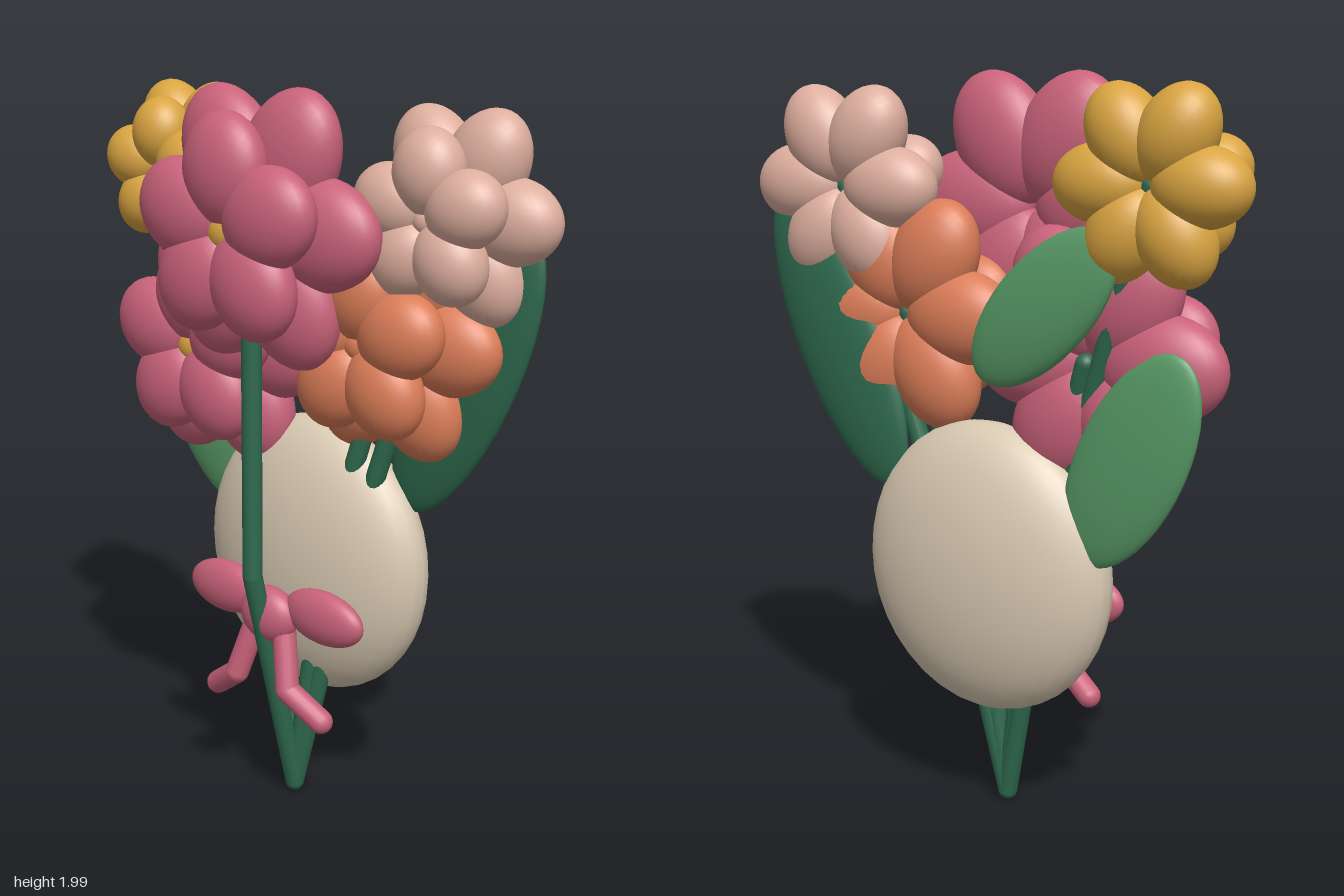
import * as THREE from 'three';

const mat = (name, color) => {
  const m = new THREE.MeshStandardMaterial({ color });
  m.name = name;
  return m;
};

export function createModel() {
  const rose = mat('rose', 0xc9627a);
  const gold = mat('gold', 0xd9a441);
  const blush = mat('blush', 0xddae9e);
  const coral = mat('coral', 0xdb7d58);
  const stemGreen = mat('stem green', 0x2f6a4e);
  const leafGreen = mat('leaf green', 0x589a66);
  const cream = mat('cream', 0xd9c9b2);

  const root = new THREE.Group();
  root.name = 'bouquet';
  const ball = new THREE.SphereGeometry(1, 32, 20);

  // Scaled sphere, turned about z
  const ellipsoid = (parent, name, material, pos, radii, turn = 0) => {
    const m = new THREE.Mesh(ball, material);
    m.name = name;
    m.position.set(...pos);
    m.scale.set(...radii);
    m.rotation.z = turn;
    parent.add(m);
    return m;
  };

  // Round-ended rod through a list of points
  const rod = (parent, name, material, points, r) => {
    const g = new THREE.Group();
    g.name = name;
    for (let i = 1; i < points.length; i++) {
      const a = new THREE.Vector3(...points[i - 1]);
      const b = new THREE.Vector3(...points[i]);
      const dir = b.clone().sub(a);
      const m = new THREE.Mesh(new THREE.CapsuleGeometry(r, dir.length(), 6, 16), material);
      m.name = name + 'Segment';
      m.position.copy(a).add(b).multiplyScalar(0.5);
      m.quaternion.setFromUnitVectors(new THREE.Vector3(0, 1, 0), dir.normalize());
      g.add(m);
    }
    parent.add(g);
  };

  // Ring of petals around the flower's axis
  const petals = (parent, name, material, count, start, dist, radii, z) => {
    for (let i = 0; i < count; i++) {
      const a = start + (i / count) * Math.PI * 2;
      ellipsoid(parent, name, material, [Math.cos(a) * dist, Math.sin(a) * dist, z], radii, a);
    }
  };

  // Flower: six outer petals, five raised inner petals and a core
  const flower = (name, material, [x, y, z], s) => {
    const g = new THREE.Group();
    g.name = name;
    g.position.set(x, y, z);
    petals(g, 'outerPetal', material, 6, 0, 0.2 * s, [0.19 * s, 0.145 * s, 0.09], 0);
    petals(g, 'innerPetal', material, 5, Math.PI / 2, 0.155 * s, [0.145 * s, 0.128 * s, 0.08], 0.125);
    const core = material === rose ? gold : material;
    ellipsoid(g, 'core', core, [0, 0, 0.115], [0.06 * s, 0.06 * s, 0.05]);
    root.add(g);
  };
  flower('frontFlower', rose, [0, 1.64, 0.085], 1);
  flower('lowerRightFlower', rose, [-0.3, 1.28, -0.09], 0.95);
  flower('goldFlower', gold, [-0.495, 1.73, -0.17], 0.68);
  flower('blushFlower', blush, [0.465, 1.69, -0.135], 0.75);
  flower('coralFlower', coral, [0.275, 1.36, -0.115], 0.87);

  // Stems all meet at the foot
  const foot = [0, 0.03, -0.05];
  const stems = [
    [[0, 0.7, 0.12], [0, 1.42, 0.12]],
    [[-0.1, 0.7, -0.08], [-0.3, 1.28, -0.14]],
    [[-0.15, 0.7, -0.1], [-0.495, 1.73, -0.17]],
    [[0.15, 0.7, -0.09], [0.465, 1.69, -0.135]],
    [[0.09, 0.7, -0.07], [0.275, 1.36, -0.115]],
  ];
  for (const [knee, top] of stems) rod(root, 'stem', stemGreen, [foot, knee, top], 0.027);

  // Leaves behind the flowers
  ellipsoid(root, 'leftLeaf', stemGreen, [0.475, 1.28, -0.165], [0.15, 0.43, 0.045], -0.44);
  ellipsoid(root, 'lowerRightLeaf', leafGreen, [-0.45, 1.05, -0.17], [0.15, 0.31, 0.04], 0.47);
  ellipsoid(root, 'upperRightLeaf', leafGreen, [-0.22, 1.42, -0.215], [0.13, 0.27, 0.045], 0.8);

  // Rounded wrap
  ellipsoid(root, 'wrap', cream, [0, 0.705, -0.14], [0.378, 0.395, 0.152]);

  // Bow with two loops and two bent tails
  const bow = new THREE.Group();
  bow.name = 'bow';
  root.add(bow);
  ellipsoid(bow, 'knot', rose, [0, 0.575, 0.055], [0.095, 0.08, 0.055]);
  for (const s of [-1, 1]) {
    ellipsoid(bow, 'loop', rose, [s * 0.18, 0.605, 0.035], [0.135, 0.075, 0.045], -s * 0.03);
    rod(bow, 'tail', rose, [[s * 0.05, 0.55, 0.05], [s * 0.095, 0.385, 0.085], [s * 0.195, 0.315, 0.06]], 0.033);
  }
  return root;
}
